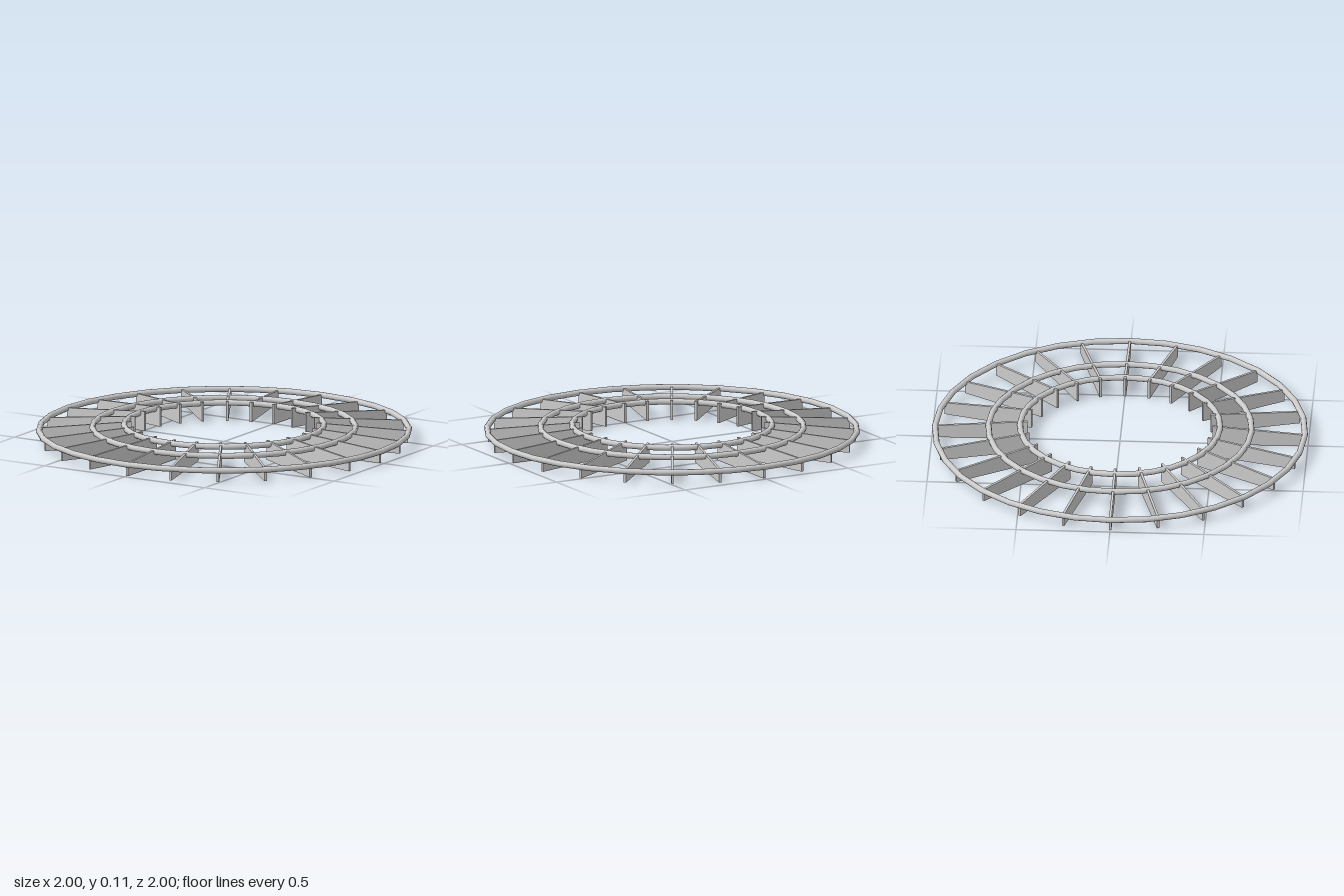
import * as THREE from 'three';

export function createModel() {
  const group = new THREE.Group();
  const material = new THREE.MeshStandardMaterial({ color: 0xcccccc });

  // Three round-section rings, rising slightly towards the centre
  const rings = [
    ['outerRing', 0.984, 0.064],
    ['middleRing', 0.7, 0.08],
    ['innerRing', 0.532, 0.092],
  ];
  for (const [name, radius, y] of rings) {
    const geometry = new THREE.TorusGeometry(radius, 0.016, 10, 32);
    geometry.rotateX(Math.PI / 2);
    const ring = new THREE.Mesh(geometry, material);
    ring.name = name;
    ring.position.y = y;
    group.add(ring);
  }

  // Upright radial fin: flat bottom, top edge sloping down outwards
  const finCount = 24, thickness = 0.013;
  const profile = new THREE.Shape([
    new THREE.Vector2(0.492, 0),
    new THREE.Vector2(0.977, 0),
    new THREE.Vector2(0.977, 0.068),
    new THREE.Vector2(0.492, 0.106),
  ]);
  const finGeometry = new THREE.ExtrudeGeometry(profile, { depth: thickness, bevelEnabled: false });
  finGeometry.translate(0, 0, -thickness / 2);

  const fins = new THREE.Group();
  fins.name = 'radialFins';
  for (let i = 0; i < finCount; i++) {
    const fin = new THREE.Mesh(finGeometry, material);
    fin.name = 'fin';
    fin.rotation.y = (i / finCount) * Math.PI * 2;
    fins.add(fin);
  }
  group.add(fins);

  return group;
}
